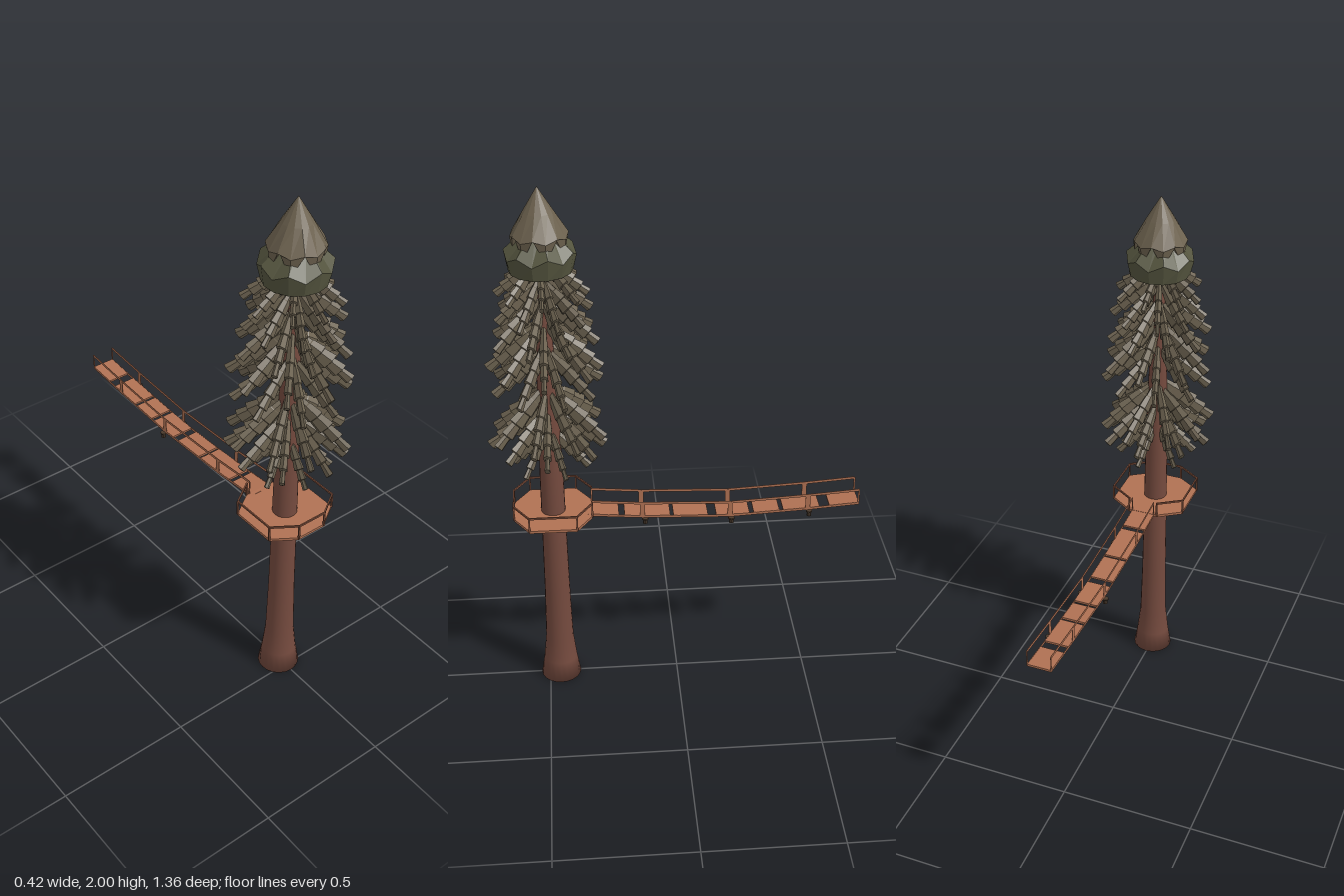
import * as THREE from 'three';
import { mergeGeometries } from 'three/addons/utils/BufferGeometryUtils.js';

const TREE_Z = 0.457;
const mat = (color, flat = true) => new THREE.MeshStandardMaterial({ color, flatShading: flat, side: THREE.DoubleSide });
const bark = mat(0x744a3e, false), wood = mat(0xb07153), railWood = mat(0x80503c);
const needles = mat(0x6c6250), crownGreen = mat(0x55553f), crownTop = mat(0x6d624f), dark = mat(0x4a3a2c);
const V = (x, y, z) => new THREE.Vector3(x, y, z);

function add(parent, name, geometry, material) {
  const mesh = new THREE.Mesh(geometry, material);
  mesh.name = name;
  parent.add(mesh);
  return mesh;
}

// Straight bar of width w and height h between two points
function bar(a, b, w, h) {
  const d = b.clone().sub(a);
  const g = new THREE.BoxGeometry(w, h, d.length());
  g.applyQuaternion(new THREE.Quaternion().setFromUnitVectors(V(0, 0, 1), d.normalize()));
  const m = a.clone().add(b).multiplyScalar(0.5);
  return g.translate(m.x, m.y, m.z);
}

// Drooping branch: a flattened, tapering sleeve of needles with shallow steps
function branch(rootY, reach, droop, angle, size) {
  const length = (reach - 0.015) / Math.cos(droop), steps = 5, pts = [new THREE.Vector2(0, 0)];
  for (let i = 0; i < steps; i++) {
    const r = size * [0.8, 1.15, 1.2, 1.0, 0.7][i];
    pts.push(new THREE.Vector2(r * 0.78, length * i / steps));
    pts.push(new THREE.Vector2(r, length * (i + 0.94) / steps));
  }
  pts.push(new THREE.Vector2(0, length));
  const g = new THREE.LatheGeometry(pts, 6, Math.PI / 6);
  g.scale(1.1, 1, 0.55);
  g.rotateZ(-Math.PI / 2 - droop);
  g.translate(0.015, rootY, 0);
  return g.rotateY(angle);
}

// Rings [r, y, notch]: every second corner of a ring is raised by notch
function zigzag(rings, teeth) {
  const n = teeth * 2, pos = [], idx = [];
  for (const [r, y, notch] of rings)
    for (let i = 0; i < n; i++) {
      const a = i / n * Math.PI * 2;
      pos.push(r * Math.sin(a), y + (i % 2) * notch, r * Math.cos(a));
    }
  for (let k = 0; k < rings.length - 1; k++)
    for (let i = 0; i < n; i++) {
      const a = k * n + i, b = k * n + (i + 1) % n;
      idx.push(a, a + n, b, b, a + n, b + n);
    }
  const g = new THREE.BufferGeometry();
  g.setAttribute('position', new THREE.Float32BufferAttribute(pos, 3));
  g.setIndex(idx);
  g.computeVertexNormals();
  return g;
}

function makeTree() {
  const tree = new THREE.Group();
  tree.name = 'tree';
  tree.position.z = TREE_Z;
  // Trunk with flared foot
  const profile = [[0, 0], [0.077, 0], [0.064, 0.08], [0.053, 0.18], [0.048, 0.4], [0.043, 0.9], [0.036, 1.25], [0.022, 1.6], [0, 1.8]];
  add(tree, 'trunk', new THREE.LatheGeometry(profile.map(p => new THREE.Vector2(...p)), 20), bark);

  // Branch tiers: root height, reach, droop, size, count
  const tiers = [
    [1.74, 0.165, 0.66, 0.022, 8], [1.67, 0.17, 0.72, 0.024, 8],
    [1.59, 0.19, 0.68, 0.027, 8], [1.5, 0.205, 0.7, 0.028, 8], [1.41, 0.2, 0.68, 0.026, 8],
    [1.25, 0.21, 0.72, 0.028, 8], [1.18, 0.21, 0.64, 0.028, 8], [1.09, 0.145, 0.82, 0.022, 6],
  ];
  tiers.forEach(([y, reach, droop, size, count], t) => {
    const parts = [];
    for (let i = 0; i < count; i++) {
      const wobble = Math.sin(i * 2.7 + t * 1.9);
      const angle = (i + (t % 3) / 3) / count * Math.PI * 2 + wobble * 0.05;
      parts.push(branch(y + wobble * 0.012, reach * (0.98 + 0.04 * wobble), droop, angle, size));
    }
    add(tree, 'branchTier' + (t + 1), mergeGeometries(parts), needles);
  });

  // Crown: skirt with a toothed shoulder, and a pointed cap with hanging teeth
  add(tree, 'crownSkirt', zigzag([[0.04, 1.86, 0], [0.122, 1.785, -0.025], [0.11, 1.71, 0], [0.03, 1.74, 0]], 7), crownGreen);
  add(tree, 'crownCap', zigzag([[0, 2, 0], [0.052, 1.915, 0], [0.098, 1.83, 0.012], [0.09, 1.765, 0.077], [0.03, 1.84, 0]], 7), crownTop);
  return tree;
}

function makePlatform() {
  const group = new THREE.Group();
  group.name = 'platform';
  group.position.z = TREE_Z;
  const c = [[0.057, -0.143], [0.143, -0.086], [0.143, 0.086], [0.057, 0.143],
    [-0.057, 0.143], [-0.143, 0.086], [-0.143, -0.086], [-0.057, -0.143]];
  const shape = new THREE.Shape(c.map(([x, z]) => new THREE.Vector2(x, -z)));
  const floor = new THREE.ExtrudeGeometry(shape, { depth: 0.01, bevelEnabled: false });
  floor.rotateX(-Math.PI / 2).translate(0, 0.745, 0);
  add(group, 'platformFloor', floor, wood);
  // Railing, open towards the bridge
  const rails = [];
  c.forEach(([x, z], i) => {
    rails.push(bar(V(x, 0.75, z), V(x, 0.81, z), 0.006, 0.006));
    if (i < 7) rails.push(bar(V(x, 0.808, z), V(c[i + 1][0], 0.808, c[i + 1][1]), 0.005, 0.007));
  });
  add(group, 'platformRailing', mergeGeometries(rails), railWood);
  return group;
}

function makeBridge() {
  const group = new THREE.Group();
  group.name = 'bridge';
  // Sagging line: z, deck height
  const nodes = [[0.314, 0.75], [0.13, 0.734], [-0.195, 0.722], [-0.485, 0.737], [-0.675, 0.751]];
  const deckY = z => {
    for (let i = 1; i < nodes.length; i++) {
      const [z0, y0] = nodes[i - 1], [z1, y1] = nodes[i];
      if (z >= z1 || i === nodes.length - 1) return y0 + (y1 - y0) * (z - z0) / (z1 - z0);
    }
  };
  // Deck boards with gaps
  const boards = [[-0.677, -0.567], [-0.53, -0.394], [-0.38, -0.284], [-0.268, -0.144],
    [-0.113, 0.015], [0.027, 0.196], [0.217, 0.33]];
  add(group, 'deckBoards', mergeGeometries(boards.map(([a, b]) =>
    bar(V(0, deckY(a), a), V(0, deckY(b), b), 0.09, 0.008))), wood);

  // Thin side rails with broad posts at the joints
  for (const side of [-1, 1]) {
    const x = side * 0.044, parts = [];
    nodes.forEach(([z, y], i) => {
      const joint = i > 0 && i < nodes.length - 1;
      parts.push(new THREE.BoxGeometry(0.002, 0.06, joint ? 0.018 : 0.006).translate(x, y + 0.03, z));
      if (i === 0) return;
      const [z0, y0] = nodes[i - 1];
      parts.push(bar(V(x, y0, z0), V(x, y, z), 0.0015, 0.01));
      parts.push(bar(V(x, y0 + 0.058, z0), V(x, y + 0.058, z), 0.0015, 0.01));
    });
    add(group, side > 0 ? 'leftRailing' : 'rightRailing', mergeGeometries(parts), wood);
  }

  // Small hanging lamps under the joints
  for (const [x, z] of [[0.045, 0.12], [0.048, -0.2], [-0.048, -0.2], [0.048, -0.49]]) {
    const y = deckY(z);
    const g = mergeGeometries([
      new THREE.CylinderGeometry(0.012, 0.012, 0.005, 8).translate(x, y - 0.008, z),
      new THREE.CylinderGeometry(0.006, 0.009, 0.018, 8).translate(x, y - 0.018, z)]);
    add(group, 'lamp', g, dark);
  }
  return group;
}

export function createModel() {
  const model = new THREE.Group();
  model.name = 'treePlatformWithBridge';
  model.add(makeTree(), makePlatform(), makeBridge());
  return model;
}
